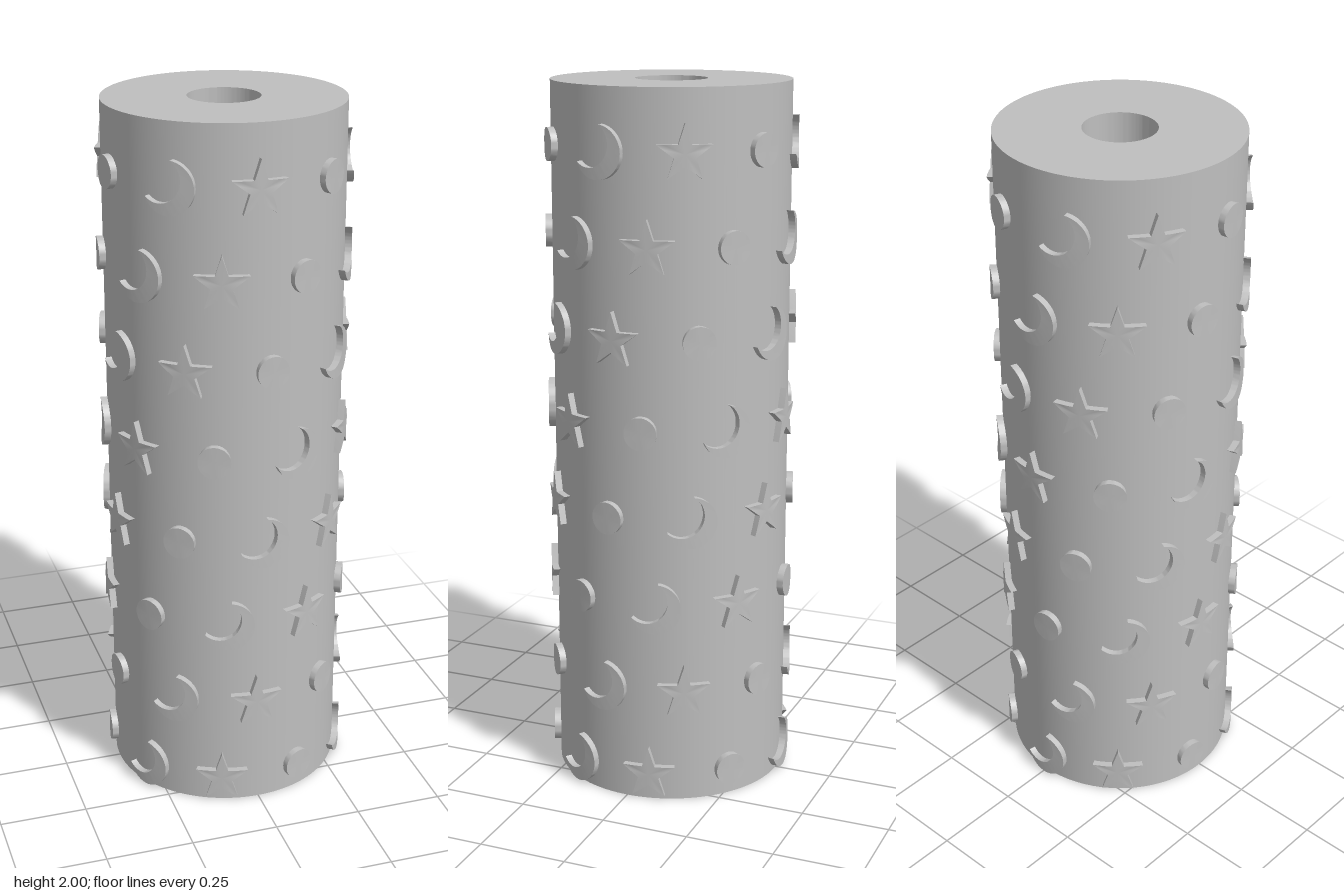
import * as THREE from 'three';
import { toCreasedNormals } from 'three/addons/utils/BufferGeometryUtils.js';

const BODY_R = 0.333, RELIEF_R = 0.352, ROOT_R = 0.325, BORE_R = 0.1, HEIGHT = 2;
const DEG = Math.PI / 180;

const polar = (r, a, cx = 0, cy = 0) => [cx + r * Math.cos(a), cy + r * Math.sin(a)];

// wraps a flat point (u, v) onto a cylinder of radius r, facing +z
const wrap = ([u, v], r) => {
  const a = u / RELIEF_R;
  return new THREE.Vector3(r * Math.sin(a), v, r * Math.cos(a));
};

// raised plate between a counter-clockwise outer line and an inner line
function reliefGeometry(outer, inner, innerWall) {
  const pos = [], ab = new THREE.Vector3(), ac = new THREE.Vector3();
  const tri = (a, b, c) => {
    if (ab.subVectors(b, a).cross(ac.subVectors(c, a)).length() < 1e-9) return;
    for (const p of [a, b, c]) pos.push(p.x, p.y, p.z);
  };
  const quad = (a, b, c, d) => { tri(a, b, c); tri(a, c, d); };
  const wall = (p, q) => quad(wrap(p, ROOT_R), wrap(q, ROOT_R), wrap(q, RELIEF_R), wrap(p, RELIEF_R));
  for (let i = 0; i + 1 < outer.length; i++) {
    const [a, b, c, d] = [outer[i], outer[i + 1], inner[i + 1], inner[i]];
    quad(...[a, b, c, d].map(p => wrap(p, RELIEF_R)));
    wall(a, b);
    if (innerWall) wall(c, d);
  }
  const geo = new THREE.BufferGeometry();
  geo.setAttribute('position', new THREE.Float32BufferAttribute(pos, 3));
  return toCreasedNormals(geo, 30 * DEG);
}

function starGeometry() {
  const outer = [];
  const corner = i => polar(i % 2 ? 0.031 : 0.08, (90 + 36 * i) * DEG);
  for (let i = 0; i < 10; i++) {
    const [p, q] = [corner(i), corner(i + 1)];
    for (let k = 0; k < 3; k++) outer.push([0, 1].map(j => p[j] + (q[j] - p[j]) * k / 3));
  }
  outer.push(corner(10));
  return reliefGeometry(outer, outer.map(() => [0, 0]), false);
}

function dotGeometry() {
  const outer = [];
  for (let i = 0; i <= 40; i++) outer.push(polar(0.046, i / 40 * 2 * Math.PI));
  return reliefGeometry(outer, outer.map(() => [0, 0]), false);
}

// crescent opening to the upper left: a disc minus a shifted disc
function moonGeometry() {
  const R = 0.073, r = 0.063, d = 0.034, axis = 143 * DEG, n = 40;
  const reach = (R * R - r * r + d * d) / (2 * d);
  const a = Math.acos(reach / R), b = Math.acos((reach - d) / r);
  const [cx, cy] = polar(d, axis);
  const outer = [], inner = [];
  for (let i = 0; i <= n; i++) {
    const t = i / n;
    outer.push(polar(R, axis + a + t * (2 * Math.PI - 2 * a)));
    inner.push(polar(r, axis + b + t * (2 * Math.PI - 2 * b), cx, cy));
  }
  inner[0] = outer[0];
  inner[n] = outer[n];
  return reliefGeometry(outer, inner, true);
}

export function createModel() {
  const model = new THREE.Group();
  model.name = 'patternRoller';
  const grey = new THREE.MeshStandardMaterial({ color: 0xbfbfbf });
  grey.name = 'grey';

  // cylinder with a bore through it
  const profile = [[BORE_R, 0], [BODY_R, 0], [BODY_R, HEIGHT], [BORE_R, HEIGHT], [BORE_R, 0]]
    .map(p => new THREE.Vector2(...p));
  const body = new THREE.Mesh(
    toCreasedNormals(new THREE.LatheGeometry(profile, 128), 30 * DEG), grey);
  body.name = 'rollerBody';
  model.add(body);

  // eight rows of star, dot, moon, repeated three times round, each row shifted
  const motifs = [['star', starGeometry()], ['dot', dotGeometry()], ['moon', moonGeometry()]];
  const shifts = [0, 16.67, 43.33];
  for (let row = 0; row < 8; row++) {
    const group = new THREE.Group();
    group.name = 'motifRow' + (row + 1);
    group.position.y = 0.08 + 0.25 * row;
    const start = -18.5 + shifts[row % 3] + 60 * Math.floor(row / 3);
    for (let k = 0; k < 9; k++) {
      const [name, geo] = motifs[k % 3];
      const mesh = new THREE.Mesh(geo, grey);
      mesh.name = name;
      mesh.rotation.y = (start + 40 * k) * DEG;
      group.add(mesh);
    }
    model.add(group);
  }
  return model;
}
